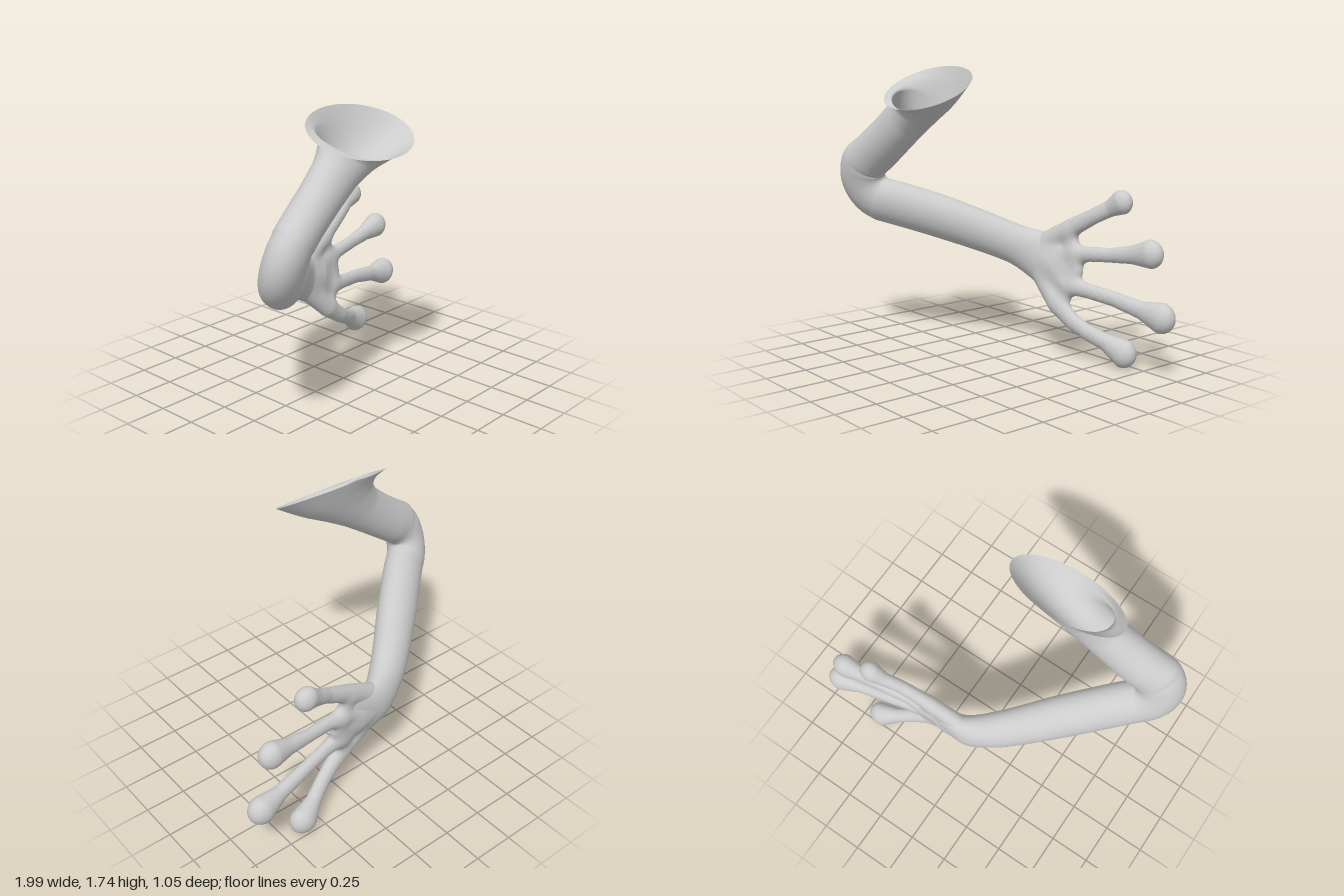
import * as THREE from 'three';

const V = (x, y, z) => new THREE.Vector3(x, y, z);
const material = new THREE.MeshStandardMaterial({ color: 0xcccccc, side: THREE.DoubleSide });

function buildMesh(name, positions, index) {
  const geometry = new THREE.BufferGeometry();
  geometry.setAttribute('position', new THREE.Float32BufferAttribute(positions, 3));
  geometry.setIndex(index);
  geometry.computeVertexNormals();
  const mesh = new THREE.Mesh(geometry, material);
  mesh.name = name;
  return mesh;
}

// Smooth skin through elliptical sections [centre, halfAxisA, halfAxisB]
function loft(name, sections, stepsPerSection, sides) {
  const [centre, axisA, axisB] = [0, 1, 2].map(
    k => new THREE.CatmullRomCurve3(sections.map(s => s[k])));
  const rows = (sections.length - 1) * stepsPerSection;
  const positions = [], index = [];
  for (let i = 0; i <= rows; i++) {
    const c = centre.getPoint(i / rows), a = axisA.getPoint(i / rows), b = axisB.getPoint(i / rows);
    for (let j = 0; j < sides; j++) {
      const t = j / sides * Math.PI * 2;
      const p = c.clone().addScaledVector(a, Math.cos(t)).addScaledVector(b, Math.sin(t));
      positions.push(p.x, p.y, p.z);
      if (i === rows) continue;
      const p0 = i * sides + j, p1 = i * sides + (j + 1) % sides;
      index.push(p0, p0 + sides, p1, p1, p0 + sides, p1 + sides);
    }
  }
  return buildMesh(name, positions, index);
}

// Elbow sections fan around the inner crease
function elbowSections() {
  const crease = V(-0.705, 1.05, 0.295);
  const hinge = V(0.433, -0.308, 0.847).normalize();
  const start = V(-0.582, 0.622, 0.522).normalize();
  const sections = [];
  for (let i = 0; i <= 6; i++) {
    const out = start.clone().applyAxisAngle(hinge, i / 6 * 1.92);
    sections.push([
      crease.clone().addScaledVector(out, 0.162),
      out.clone().multiplyScalar(0.145),
      hinge.clone().multiplyScalar(0.115)]);
  }
  return sections;
}

// Bones of the hand as [x, y, z, radius] chains from the wrist to the round finger pads
const FLATNESS = 0.8, BLEND = 0.055;
const chains = [
  // palm
  [[0.02, 0.58, -0.352, 0.085], [0.14, 0.555, -0.36, 0.085], [0.25, 0.54, -0.37, 0.052]],
  // upper finger
  [[-0.01, 0.635, -0.355, 0.07], [0.25, 0.785, -0.385, 0.056], [0.42, 0.878, -0.415, 0.047],
    [0.51, 0.928, -0.445, 0.05], [0.585, 0.97, -0.46, 0.073]],
  // upper middle finger
  [[0, 0.6, -0.355, 0.07], [0.28, 0.63, -0.385, 0.055], [0.4, 0.648, -0.395, 0.045],
    [0.55, 0.662, -0.42, 0.043], [0.7, 0.685, -0.44, 0.054], [0.82, 0.705, -0.455, 0.083]],
  // lower middle finger
  [[0, 0.57, -0.35, 0.07], [0.26, 0.445, -0.35, 0.057], [0.4, 0.435, -0.372, 0.046],
    [0.58, 0.413, -0.41, 0.045], [0.77, 0.378, -0.44, 0.052], [0.905, 0.355, -0.46, 0.09]],
  // lower finger
  [[-0.01, 0.53, -0.345, 0.07], [0.2, 0.325, -0.318, 0.06], [0.33, 0.235, -0.335, 0.052],
    [0.42, 0.185, -0.365, 0.049], [0.52, 0.14, -0.415, 0.053], [0.625, 0.088, -0.455, 0.087]],
  // webbing across the knuckles
  [[0.24, 0.75, -0.385, 0.035], [0.29, 0.63, -0.385, 0.035], [0.32, 0.54, -0.375, 0.035],
    [0.27, 0.44, -0.36, 0.035], [0.23, 0.34, -0.335, 0.035]],
];

// Distance to one chain of tapered capsules, flattened front to back
function chainDistance(chain, x, y, z) {
  let best = Infinity;
  for (let i = 1; i < chain.length; i++) {
    const [ax, ay, az, ar] = chain[i - 1], [bx, by, bz, br] = chain[i];
    const ux = bx - ax, uy = by - ay, uz = (bz - az) / FLATNESS;
    const px = x - ax, py = y - ay, pz = (z - az) / FLATNESS;
    const t = THREE.MathUtils.clamp(
      (px * ux + py * uy + pz * uz) / (ux * ux + uy * uy + uz * uz), 0, 1);
    best = Math.min(best,
      Math.hypot(px - ux * t, py - uy * t, pz - uz * t) - ar - (br - ar) * t);
  }
  return best;
}

// All chains melted softly into one another
function handDistance(x, y, z) {
  return chains.reduce((d, chain) => {
    const e = chainDistance(chain, x, y, z);
    const h = Math.max(BLEND - Math.abs(d - e), 0) / BLEND;
    return Math.min(d, e) - h * h * BLEND / 4;
  }, 10);
}

// Skin over a distance field: one vertex per crossed cell, one quad per crossed grid edge
function skin(name, distance, min, max, step) {
  const size = min.map((m, k) => Math.ceil((max[k] - m) / step) + 1);
  const stride = [1, size[0], size[0] * size[1]];
  const total = stride[2] * size[2];
  const coords = i => [i % size[0], Math.floor(i / stride[1]) % size[1], Math.floor(i / stride[2])];
  const field = new Float32Array(total), vertexOf = new Int32Array(total);
  for (let i = 0; i < total; i++) {
    field[i] = distance(...coords(i).map((c, k) => min[k] + c * step));
  }
  const offset = a => (a & 1) * stride[0] + (a >> 1 & 1) * stride[1] + (a >> 2) * stride[2];
  const positions = [], index = [];
  for (let i = 0; i < total; i++) {
    const cell = coords(i);
    if (cell.some((c, k) => c >= size[k] - 1)) continue;
    const sum = [0, 0, 0];
    let crossings = 0;
    for (let a = 0; a < 8; a++) {
      for (let k = 0; k < 3; k++) {
        if (a >> k & 1) continue;
        const fa = field[i + offset(a)], fb = field[i + offset(a | 1 << k)];
        if (fa < 0 === fb < 0) continue;
        crossings++;
        for (let m = 0; m < 3; m++) sum[m] += m === k ? fa / (fa - fb) : a >> m & 1;
      }
    }
    if (!crossings) continue;
    vertexOf[i] = positions.length / 3;
    positions.push(...sum.map((s, k) => min[k] + (cell[k] + s / crossings) * step));
    for (let k = 0; k < 3; k++) {
      const inside = field[i] < 0;
      if (inside === field[i + stride[k]] < 0) continue;
      const u = stride[(k + 1) % 3], v = stride[(k + 2) % 3];
      const [p, q, r, s] = [i, i - u, i - u - v, i - v].map(c => vertexOf[c]);
      index.push(...(inside ? [p, q, r, p, r, s] : [p, r, q, p, s, r]));
    }
  }
  return buildMesh(name, positions, index);
}

export function createModel() {
  const group = new THREE.Group();
  group.name = 'arm';

  // Open shoulder rim, upper arm, elbow, forearm and wrist, thinning out inside the palm
  group.add(loft('upperArmAndForearm', [
    [V(-0.215, 1.618, 0.322), V(-0.312, -0.052, 0.085), V(0.18, -0.109, 0.181)],
    [V(-0.262, 1.565, 0.315), V(-0.22, 0.015, 0.075), V(0.125, -0.095, 0.14)],
    [V(-0.33, 1.505, 0.315), V(-0.14, 0.055, 0.07), V(0.085, -0.075, 0.11)],
    [V(-0.43, 1.425, 0.326), V(-0.095, 0.08, 0.066), V(0.062, -0.05, 0.096)],
    [V(-0.57, 1.318, 0.342), V(-0.08, 0.086, 0.07), V(0.055, -0.043, 0.094)],
    [V(-0.72, 1.209, 0.363), V(-0.082, 0.088, 0.075), V(0.051, -0.037, 0.097)],
    ...elbowSections(),
    [V(-0.71, 0.884, 0.222), V(-0.066, -0.129, -0.015), V(0.052, -0.038, 0.096)],
    [V(-0.48, 0.798, 0.015), V(-0.068, -0.124, -0.02), V(0.054, -0.045, 0.09)],
    [V(-0.15, 0.652, -0.268), V(-0.055, -0.115, -0.005), V(0.05, -0.03, 0.08)],
    [V(0, 0.587, -0.35), V(-0.035, -0.15, 0.01), V(0.03, -0.01, 0.08)],
    [V(0.1, 0.56, -0.36), V(-0.02, -0.18, 0.025), V(0.01, 0, 0.066)],
    [V(0.2, 0.545, -0.365), V(-0.01, -0.19, 0.03), V(0, 0, 0.042)],
    [V(0.28, 0.54, -0.37), V(0, -0.1, 0.01), V(0, 0, 0.015)],
  ], 8, 48));

  // Palm, webbing and four fingers in one skin
  group.add(skin('hand', handDistance, [-0.13, -0.04, -0.58], [1.04, 1.1, -0.22], 0.0125));
  return group;
}
